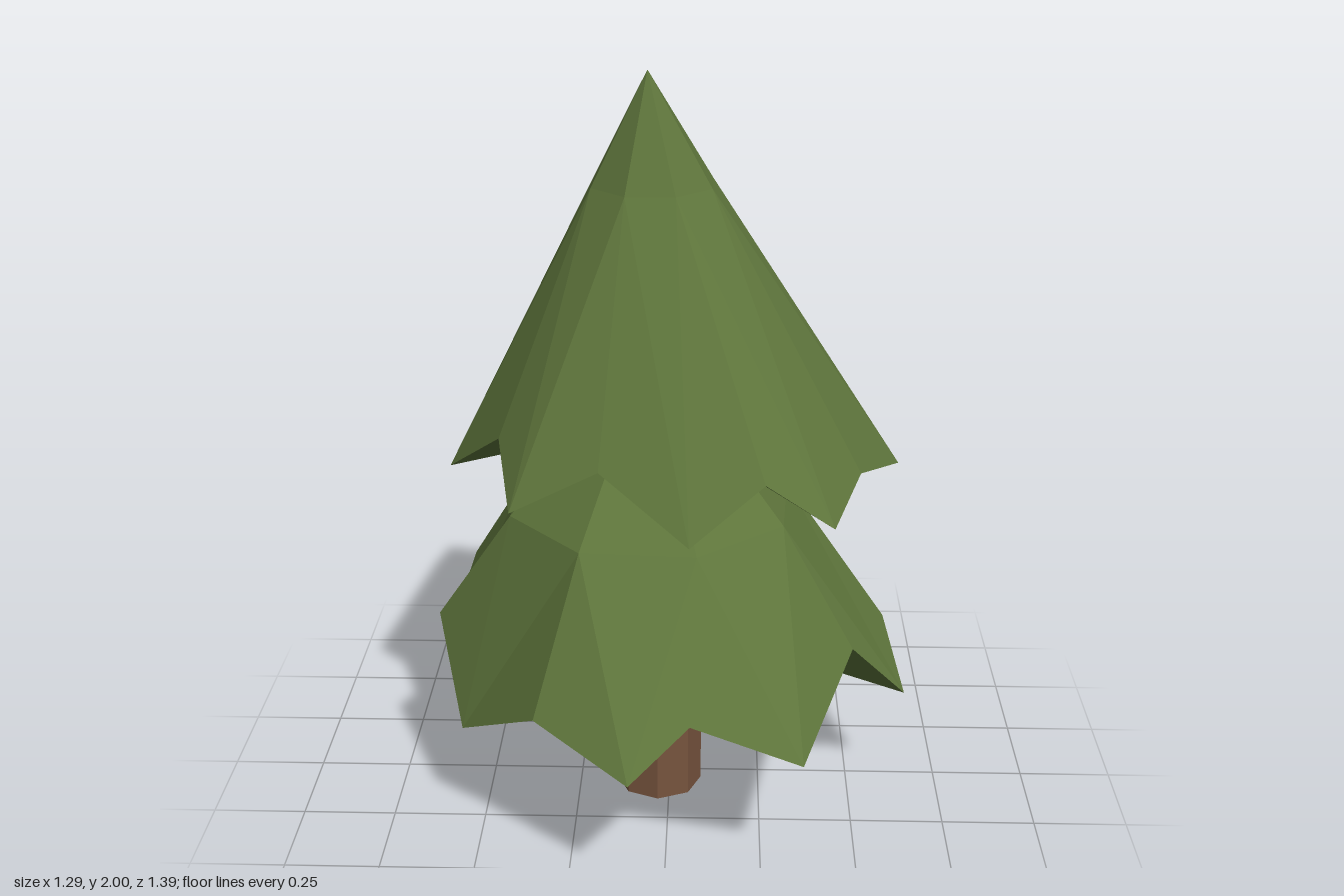
import * as THREE from 'three';

const green = new THREE.MeshStandardMaterial({ color: 0x5f763c });
green.name = 'foliage green';
const brown = new THREE.MeshStandardMaterial({ color: 0x77543e });
brown.name = 'bark brown';

// Flat-faced mesh from convex polygons, each fanned from its first corner
function facetMesh(name, polygons, material) {
  const pos = [];
  for (const p of polygons) {
    for (let i = 1; i < p.length - 1; i++) pos.push(...p[0], ...p[i], ...p[i + 1]);
  }
  const geo = new THREE.BufferGeometry();
  geo.setAttribute('position', new THREE.Float32BufferAttribute(pos, 3));
  geo.computeVertexNormals();
  const mesh = new THREE.Mesh(geo, material);
  mesh.name = name;
  return mesh;
}

// Octagon ring, counter-clockwise seen from above, starting at a given angle from +z
function octagon(cx, y, cz, r, startDeg) {
  return Array.from({ length: 8 }, (_, i) => {
    const a = THREE.MathUtils.degToRad(startDeg + i * 45);
    return [cx + r * Math.sin(a), y, cz + r * Math.cos(a)];
  });
}

// Branch tier: apex cap, eight pointed skirt panels, closed underside.
// The rim alternates notch, tip, notch, tip...
function tier(name, apex, ring, rim, under) {
  const faces = [];
  for (let i = 0; i < 8; i++) {
    const j = (i + 1) % 8;
    const notch = rim[2 * i], tip = rim[2 * i + 1], next = rim[2 * j];
    faces.push([apex, ring[i], ring[j]]);
    faces.push([tip, next, ring[j], ring[i], notch]);
    faces.push([under, next, tip], [under, tip, notch]);
  }
  return facetMesh(name, faces, green);
}

// Trunk with one bottom corner chipped away
function trunk() {
  const low = octagon(-0.03, 0, 0.04, 0.118, 0);
  const high = octagon(-0.03, 0.6, 0.04, 0.118, 0);
  const chip = 3;
  low[chip][1] = 0.1;
  const faces = low.map((p, i) => [p, low[(i + 1) % 8], high[(i + 1) % 8], high[i]]);
  faces.push(high);
  faces.push(low.filter((_, i) => i !== chip).reverse());
  faces.push([low[chip], low[chip - 1], low[chip + 1]]);
  return facetMesh('trunk', faces, brown);
}

export function createModel() {
  const tree = new THREE.Group();
  tree.name = 'pineTree';

  const upperRim = [
    [-0.165, 1.09, 0.41], [0.06, 0.935, 0.51],
    [0.245, 1.065, 0.42], [0.42, 0.935, 0.385],
    [0.495, 1.0, 0.18], [0.615, 0.93, -0.065],
    [0.46, 1.07, -0.25], [0.415, 0.97, -0.485],
    [0.195, 1.085, -0.52], [-0.01, 0.915, -0.65],
    [-0.11, 1.06, -0.54], [-0.35, 0.92, -0.46],
    [-0.48, 1.05, -0.175], [-0.59, 0.935, 0],
    [-0.43, 1.1, 0.215], [-0.39, 0.97, 0.39],
  ];
  const lowerRim = [
    [-0.33, 0.465, 0.53], [-0.085, 0.38, 0.695],
    [0.065, 0.49, 0.595], [0.35, 0.37, 0.575],
    [0.49, 0.51, 0.215], [0.645, 0.315, 0.1],
    [0.6, 0.43, -0.14], [0.535, 0.335, -0.385],
    [0.285, 0.455, -0.56], [0.12, 0.34, -0.7],
    [-0.09, 0.45, -0.67], [-0.3, 0.275, -0.67],
    [-0.595, 0.47, -0.44], [-0.65, 0.325, -0.145],
    [-0.63, 0.52, 0.055], [-0.545, 0.3, 0.295],
  ];

  tree.add(
    trunk(),
    tier('lowerBranches', [-0.05, 1.28, 0], octagon(-0.05, 0.845, 0, 0.39, -26), lowerRim, [-0.03, 0.5, 0.02]),
    tier('upperBranches', [-0.055, 2, 0.025], octagon(-0.045, 1.71, -0.01, 0.165, -22.5), upperRim, [-0.03, 1.07, 0]),
  );
  return tree;
}
